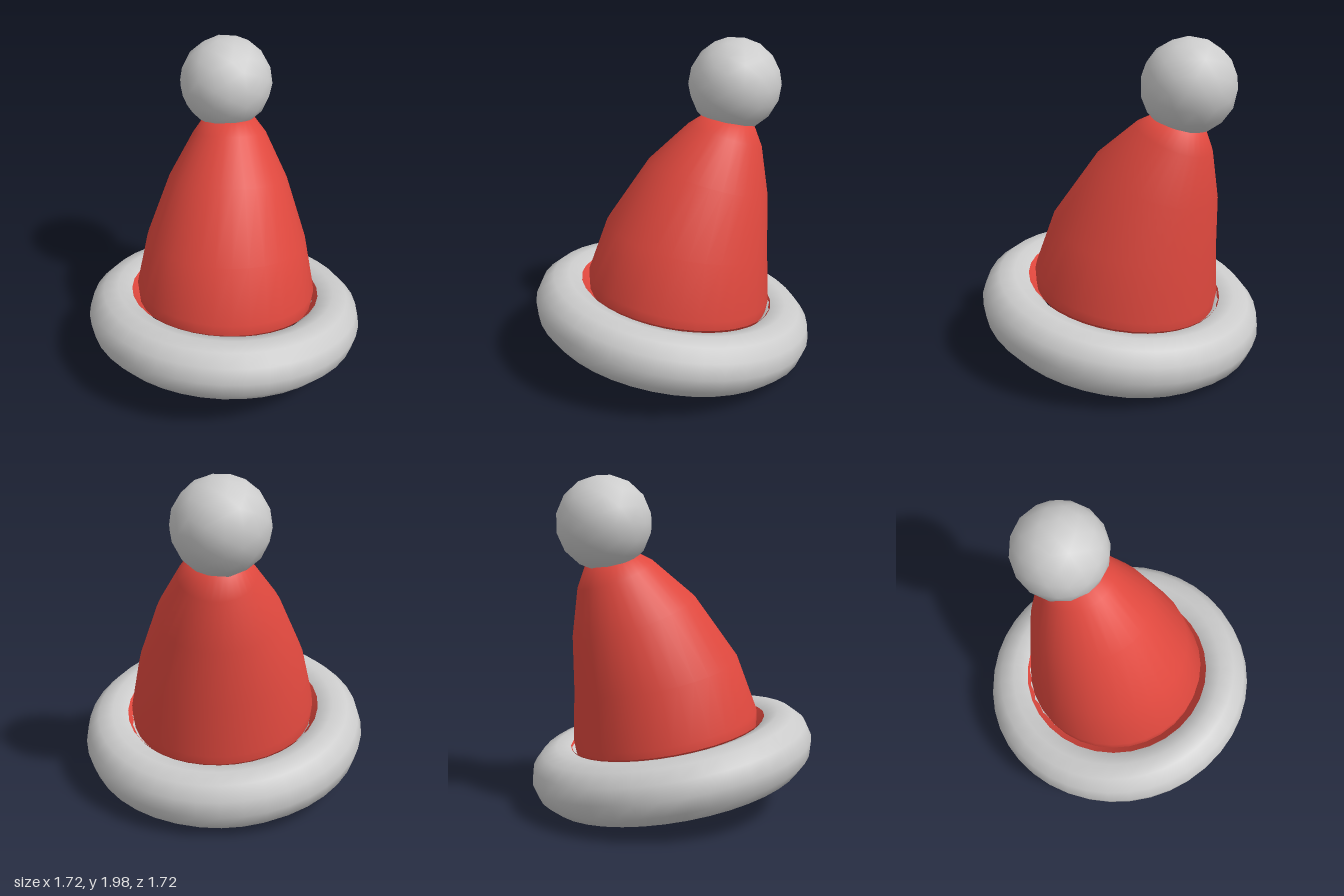
import * as THREE from 'three';

// Lofts circles: each ring is [centreX, centreY, centreZ, radius, slopeX, slopeZ],
// where the slopes tilt the ring's plane.
function loft(rings, sides) {
  const pos = [], idx = [], row = sides + 1;
  rings.forEach(([cx, cy, cz, r, sx, sz]) => {
    for (let i = 0; i < row; i++) {
      const a = (i % sides) / sides * Math.PI * 2;
      const x = r * Math.sin(a), z = r * Math.cos(a);
      pos.push(cx + x, cy + x * sx + z * sz, cz + z);
    }
  });
  for (let j = 0; j < rings.length - 1; j++) {
    for (let i = 0; i < sides; i++) {
      const a = j * row + i, b = a + 1, c = a + row, d = c + 1;
      idx.push(a, b, d, a, d, c);
    }
  }
  const g = new THREE.BufferGeometry();
  g.setAttribute('position', new THREE.Float32BufferAttribute(pos, 3));
  g.setIndex(idx);
  g.computeVertexNormals();
  // Match the normals along the seam
  const n = g.attributes.normal, v = new THREE.Vector3(), w = new THREE.Vector3();
  for (let j = 0; j < rings.length; j++) {
    const a = j * row, b = a + sides;
    v.fromBufferAttribute(n, a).add(w.fromBufferAttribute(n, b)).normalize();
    n.setXYZ(a, v.x, v.y, v.z);
    n.setXYZ(b, v.x, v.y, v.z);
  }
  return g;
}

export function createModel() {
  const group = new THREE.Group();
  const fluff = new THREE.MeshStandardMaterial({ color: 0xcccccc });
  const felt = new THREE.MeshStandardMaterial({ color: 0xe0483e, side: THREE.DoubleSide });

  const add = (name, geometry, material) => {
    const mesh = new THREE.Mesh(geometry, material);
    mesh.name = name;
    group.add(mesh);
    return mesh;
  };

  // Thick brim, tilted down towards the back and the +x side
  const brim = add('brim', new THREE.TorusGeometry(0.685, 0.18, 12, 40).rotateX(Math.PI / 2), fluff);
  brim.position.y = 0.303;
  brim.quaternion.setFromUnitVectors(
    new THREE.Vector3(0, 1, 0), new THREE.Vector3(0.11, 1, -0.125).normalize());

  // Leaning cone, its rings tilting more towards the tip
  add('cone', loft([
    [0.02, 0.41, -0.025, 0.55, -0.11, 0.125],
    [0.025, 0.5, -0.03, 0.56, -0.11, 0.13],
    [0.055, 0.82, -0.08, 0.495, -0.12, 0.165],
    [0.125, 1.17, -0.2, 0.365, -0.17, 0.29],
    [0.18, 1.42, -0.295, 0.225, -0.16, 0.33],
    [0.19, 1.51, -0.32, 0.155, -0.11, 0.24],
    [0.195, 1.54, -0.33, 0.001, -0.11, 0.24],
  ], 32), felt);

  // Narrow hem that turns outwards over the brim
  add('hem', loft([
    [0.015, 0.465, -0.02, 0.592, -0.11, 0.125],
    [0.02, 0.41, -0.025, 0.55, -0.11, 0.125],
  ], 32), felt);

  // Pompom on the tip
  const pompom = add('pompom', new THREE.IcosahedronGeometry(0.28, 2), fluff);
  pompom.position.set(0.195, 1.722, -0.372);

  return group;
}
